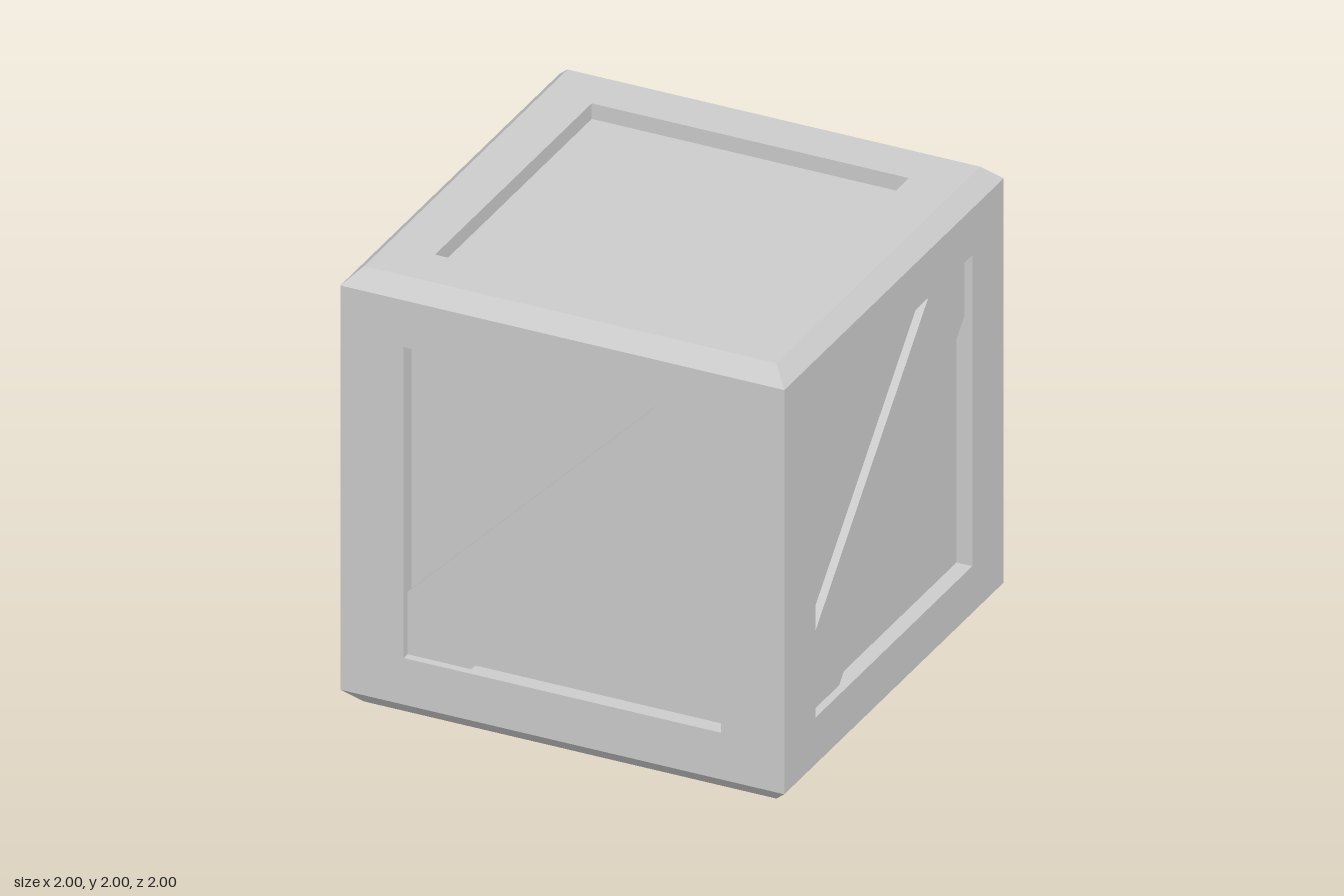
import * as THREE from 'three';

const U = 1 / 14;          // module: frame depth and chamfer size
const HOLE = 10 * U;       // half width of each recess
const CORE = 13 * U;       // half width of the inner box

const material = new THREE.MeshStandardMaterial({ color: 0xcccccc, flatShading: true });

function mesh(name, geometry) {
  const m = new THREE.Mesh(geometry, material);
  m.name = name;
  return m;
}

function polygon(points) {
  return points.map(([x, y]) => new THREE.Vector2(x, y));
}

function square(hx, hy) {
  return polygon([[-hx, -hy], [hx, -hy], [hx, hy], [-hx, hy]]);
}

// Square frame lying on the core; its outer rim runs from (backX, backY) to (frontX, frontY)
function frameGeometry(backX, backY, frontX, frontY) {
  const shape = new THREE.Shape(square(1, 1));
  shape.holes.push(new THREE.Path(square(HOLE, HOLE)));
  const geometry = new THREE.ExtrudeGeometry(shape, { depth: U, bevelEnabled: false });
  const p = geometry.attributes.position;
  for (let i = 0; i < p.count; i++) {
    if (Math.abs(p.getX(i)) < 0.9) continue; // leave the recess walls straight
    const front = p.getZ(i) > U / 2;
    p.setX(i, Math.sign(p.getX(i)) * (front ? frontX : backX));
    p.setY(i, Math.sign(p.getY(i)) * (front ? frontY : backY));
  }
  geometry.computeVertexNormals();
  return geometry;
}

// Diagonal board filling two opposite corners of the recess, half as deep as the frame
function braceGeometry(side) {
  const points = [[-10, -10], [-6, -10], [10, 6], [10, 10], [6, 10], [-10, -6]];
  const shape = new THREE.Shape(polygon(points.map(([x, y]) => [side * x * U, y * U])));
  return new THREE.ExtrudeGeometry(shape, { depth: U / 2, bevelEnabled: false });
}

export function createModel() {
  const crate = new THREE.Group();
  crate.name = 'crate';

  // Inner box: its faces are the recessed panels
  const core = mesh('innerPanels', new THREE.BoxGeometry(2 * CORE, 2 * CORE, 2 * CORE));
  core.position.y = 1;
  crate.add(core);

  // Four walls with mitred frames; back and left braces are mirrored
  const wallFrame = frameGeometry(CORE, CORE, 1, CORE);
  ['front', 'left', 'back', 'right'].forEach((name, i) => {
    const wall = new THREE.Group();
    wall.name = name + 'Wall';
    const frame = mesh(name + 'Frame', wallFrame);
    const brace = mesh(name + 'Brace', braceGeometry(i < 2 ? 1 : -1));
    frame.position.z = brace.position.z = CORE;
    wall.add(frame, brace);
    wall.position.y = 1;
    wall.rotation.y = i * Math.PI / 2;
    crate.add(wall);
  });

  // Lid and base frames with chamfered rims
  const capFrame = frameGeometry(1, 1, CORE, CORE);
  for (const side of [1, -1]) {
    const cap = mesh(side > 0 ? 'lidFrame' : 'baseFrame', capFrame);
    cap.rotation.x = -side * Math.PI / 2;
    cap.position.y = 1 + side * CORE;
    crate.add(cap);
  }

  return crate;
}
